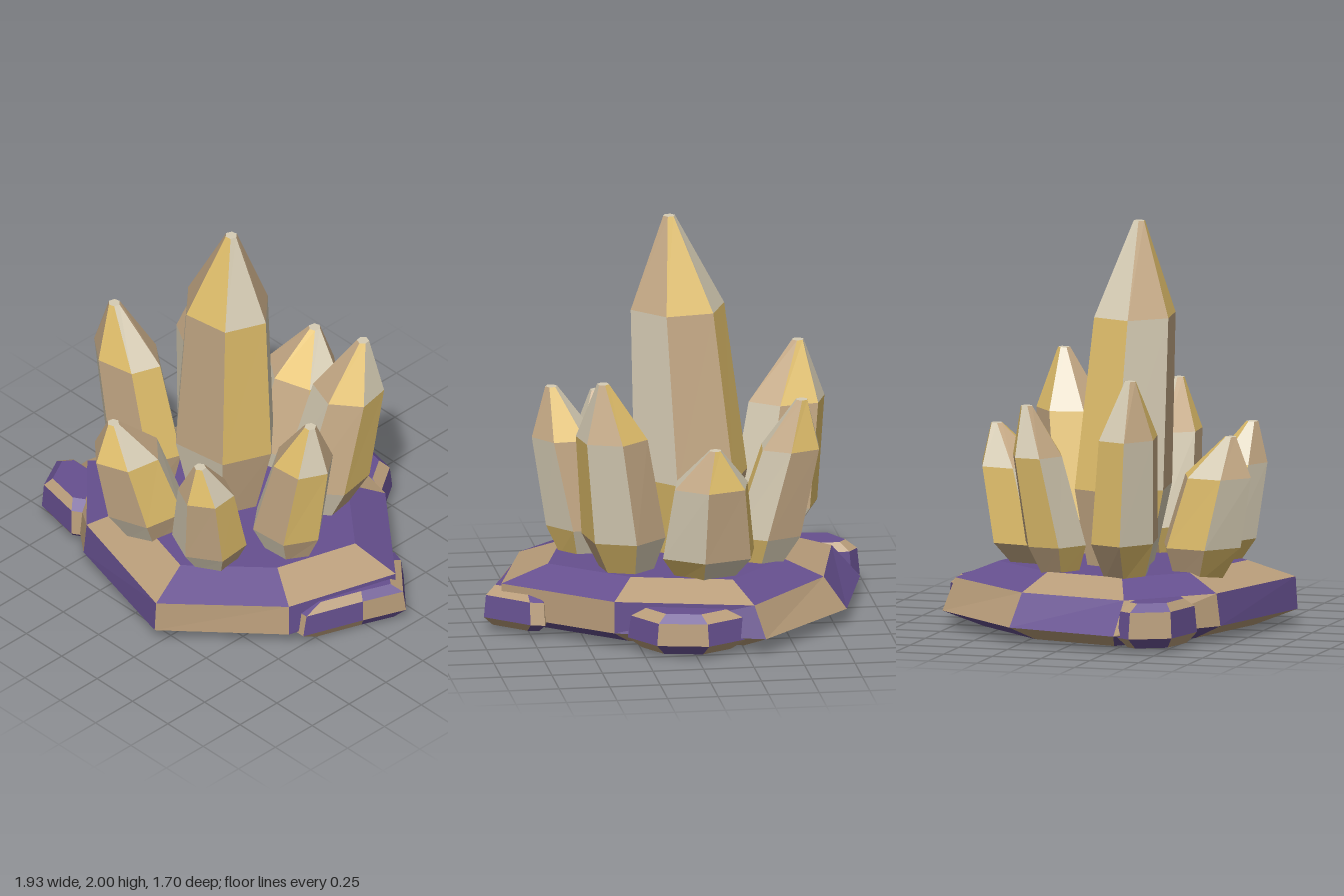
import * as THREE from 'three';

const CRYSTAL = [0xd6ccb4, 0xc6aa86, 0xe2c06c]; // pale, tan, gold
const STONE = [0x66508f, 0xb99d7a]; // purple, tan

// Skins horizontal rings (bottom to top, counter-clockwise from above) with
// flat facets, and makes one mesh per facet colour.
function loft(name, rings, colors, pick) {
  const tris = colors.map(() => []);
  const n = rings[0].length;
  const add = (c, ...pts) => pts.forEach((p) => tris[c].push(...p));
  for (let b = 0; b < rings.length - 1; b++) {
    for (let i = 0; i < n; i++) {
      const j = (i + 1) % n;
      const lo = rings[b], hi = rings[b + 1];
      add(pick(i, b), lo[i], lo[j], hi[j], lo[i], hi[j], hi[i]);
    }
  }
  const top = rings[rings.length - 1], bottom = rings[0];
  for (let i = 1; i < n - 1; i++) {
    add(0, top[0], top[i], top[i + 1]);
    add(0, bottom[0], bottom[i + 1], bottom[i]);
  }
  const group = new THREE.Group();
  group.name = name;
  tris.forEach((t, c) => {
    const geo = new THREE.BufferGeometry();
    geo.setAttribute('position', new THREE.Float32BufferAttribute(t, 3));
    geo.computeVertexNormals();
    const mesh = new THREE.Mesh(geo, new THREE.MeshStandardMaterial({ color: colors[c], flatShading: true }));
    mesh.name = name + 'Facets' + (c + 1);
    group.add(mesh);
  });
  return group;
}

// Ring of six corners: y, centre x and z, radii, turn in degrees
function hexRing([y, x, z, rx, rz], turn) {
  return Array.from({ length: 6 }, (_, i) => {
    const a = THREE.MathUtils.degToRad(turn + i * 60);
    return [x + rx * Math.cos(a), y, z - rz * Math.sin(a)];
  });
}

// Leaning crystal: foot, belly, shoulder and a tiny blunt tip
function crystal(name, turn, foot, belly, shoulder, tip) {
  const rings = [foot, belly, shoulder, [...tip, 0.03, 0.03]].map((r) => hexRing(r, turn));
  return loft(name, rings, CRYSTAL, (i, b) => (i + b + 2) % 3);
}

const level = (pts, y) => pts.map(([x, z]) => [x, y, z]);

// Shrinks an outline about a centre
const shrink = (pts, s, cx = 0, cz = 0) => pts.map(([x, z]) => [cx + (x - cx) * s, cz + (z - cz) * s]);

// Small bevelled stone at the rim of the base
function rimStone(name, outline, height, phase) {
  const cx = outline.reduce((s, p) => s + p[0], 0) / outline.length;
  const cz = outline.reduce((s, p) => s + p[1], 0) / outline.length;
  const rings = [
    level(shrink(outline, 0.75, cx, cz), 0.02),
    level(outline, 0.07),
    level(shrink(outline, 0.94, cx, cz), height - 0.04),
    level(shrink(outline, 0.68, cx, cz), height),
  ];
  return loft(name, rings, STONE, (i, b) => (i + b + phase) % 2);
}

export function createModel() {
  const model = new THREE.Group();
  model.name = 'crystalCluster';

  // Rock base
  const low = [[-0.34, -0.79], [-0.81, -0.3], [-0.96, 0.28], [-0.45, 0.67],
    [0.24, 0.85], [0.72, 0.4], [0.88, -0.17], [0.38, -0.58]];
  const high = [[-0.29, -0.74], [-0.7, -0.27], [-0.82, 0.29], [-0.45, 0.65],
    [0.24, 0.84], [0.71, 0.39], [0.88, -0.17], [0.38, -0.58]];
  model.add(loft('rockBase', [
    level(shrink(low, 0.76), 0),
    level(low, 0.08),
    level(high, 0.24),
    level(shrink(high, 0.73), 0.32),
  ], STONE, (i, b) => (i + b) % 2));

  // Stones around the rim
  model.add(rimStone('leftStone', [[0.69, -0.36], [0.6, 0], [0.72, 0.35], [0.77, 0.35],
    [0.88, 0.05], [0.965, -0.16], [0.76, -0.34]], 0.22, 0));
  model.add(rimStone('backStone', [[-0.05, -0.85], [-0.25, -0.74], [-0.2, -0.5],
    [0.25, -0.5], [0.32, -0.62], [0.2, -0.8]], 0.22, 1));
  model.add(rimStone('rightStone', [[-0.92, 0.29], [-0.97, 0.36], [-0.87, 0.55],
    [-0.61, 0.6], [-0.53, 0.55], [-0.61, 0.4], [-0.76, 0.29]], 0.24, 1));

  // Crystals; rings are [y, x, z, radius x, radius z], tips [y, x, z]
  model.add(crystal('mainCrystal', 10, [0.3, -0.1, 0.05, 0.19, 0.17], [0.7, -0.09, 0.06, 0.29, 0.25],
    [1.54, -0.03, 0.1, 0.24, 0.21], [2, 0.01, 0.11]));
  model.add(crystal('rightCrystal', 15, [0.3, -0.47, 0.19, 0.13, 0.11], [0.49, -0.52, 0.2, 0.23, 0.17],
    [1.01, -0.59, 0.24, 0.2, 0.15], [1.3, -0.65, 0.27]));
  model.add(crystal('backLeftCrystal', 40, [0.3, 0.27, -0.24, 0.13, 0.13], [0.49, 0.29, -0.27, 0.21, 0.21],
    [1.01, 0.36, -0.35, 0.18, 0.17], [1.3, 0.41, -0.4]));
  model.add(crystal('leftCrystal', 5, [0.3, 0.42, 0.12, 0.13, 0.1], [0.45, 0.42, 0.12, 0.2, 0.17],
    [0.9, 0.53, 0.12, 0.16, 0.15], [1.15, 0.59, 0.13]));
  model.add(crystal('backRightCrystal', 25, [0.3, -0.4, -0.17, 0.12, 0.1], [0.45, -0.43, -0.18, 0.19, 0.16],
    [0.9, -0.54, -0.24, 0.16, 0.13], [1.15, -0.59, -0.28]));
  model.add(crystal('backCrystal', 20, [0.29, -0.1, -0.37, 0.15, 0.13], [0.42, -0.11, -0.41, 0.25, 0.2],
    [0.79, -0.11, -0.5, 0.2, 0.17], [0.99, -0.12, -0.58]));
  model.add(crystal('frontRightCrystal', 20, [0.27, -0.18, 0.47, 0.14, 0.13], [0.44, -0.2, 0.5, 0.21, 0.21],
    [0.79, -0.23, 0.59, 0.17, 0.18], [0.99, -0.25, 0.66]));
  model.add(crystal('frontLeftCrystal', 35, [0.29, 0.22, 0.44, 0.12, 0.11], [0.42, 0.22, 0.46, 0.19, 0.18],
    [0.79, 0.28, 0.54, 0.14, 0.14], [0.99, 0.3, 0.6]));

  return model;
}
